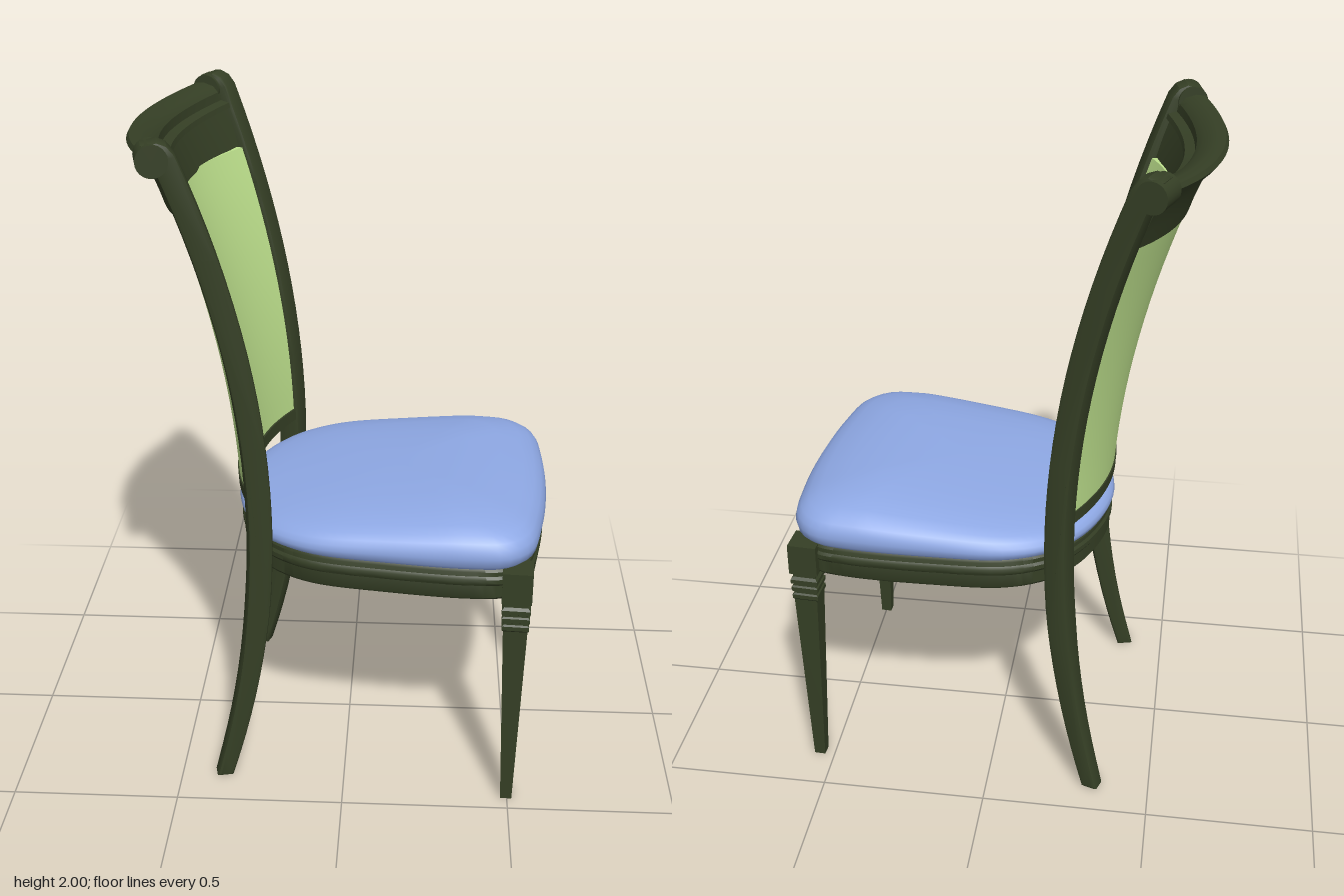
import * as THREE from 'three';
import { toCreasedNormals } from 'three/addons/utils/BufferGeometryUtils.js';

const wood = new THREE.MeshStandardMaterial({ color: 0x353f25 });
const fabric = new THREE.MeshStandardMaterial({ color: 0xbde08c });
const cushionMat = new THREE.MeshStandardMaterial({ color: 0x8ea8e4 });

// Skin between rows of points; every row is a closed loop
function loft(rows, crease) {
  const n = rows[0].length, pos = [], idx = [];
  rows.forEach(r => r.forEach(p => pos.push(...p)));
  for (let i = 0; i < rows.length - 1; i++)
    for (let j = 0; j < n; j++) {
      const a = i * n + j, b = i * n + (j + 1) % n;
      idx.push(a, b, a + n, b, b + n, a + n);
    }
  const g = new THREE.BufferGeometry();
  g.setAttribute('position', new THREE.Float32BufferAttribute(pos, 3));
  g.setIndex(idx);
  return toCreasedNormals(g, crease);
}

function add(parent, name, geometry, material) {
  const m = new THREE.Mesh(geometry, material);
  m.name = name;
  parent.add(m);
  return m;
}

// Curve shared by the rear posts and the backrest
const postX = y => -0.225 - 0.173 * (y - 0.85) ** 2;
const backHalfWidth = y => 0.32 + 0.3 * (-0.225 - postX(y));
const backSag = y => 0.08 + 0.035 * (y - 0.92);

// Sweep a counterclockwise (x, y) profile along the bowed back, with end caps
function bowed(profile, sag, halfWidth, lift = 0) {
  const rows = [], N = 24;
  for (let i = 0; i <= N; i++) {
    const t = -1 + 2 * i / N;
    rows.push(profile.map(([x, y]) => [x + sag(y) * t * t, y + lift * t * t, halfWidth(y) * t]));
  }
  const cap = row => {
    const c = [0, 1, 2].map(k => row.reduce((s, p) => s + p[k], 0) / row.length);
    return row.map(() => c);
  };
  return loft([cap(rows[0]), ...rows, cap(rows[N])], 0.6);
}

// Back slab following the post curve between two heights
function backSlab(y0, y1, front, back, steps) {
  const up = [], down = [];
  for (let i = 0; i <= steps; i++) {
    const y = y0 + (y1 - y0) * i / steps, x = postX(y) - backSag(y);
    up.push([x + front, y]);
    down.unshift([x - back, y]);
  }
  return bowed([...up, ...down], backSag, backHalfWidth);
}

// Seat plan: rounded front corners, bowed back
const half = [[-0.335, 0], [-0.315, 0.13], [-0.27, 0.24], [-0.2, 0.33], [-0.08, 0.395], [0.15, 0.425],
  [0.4, 0.435], [0.5, 0.42], [0.56, 0.36], [0.59, 0.2], [0.6, 0]];
const loop = [...half, ...half.slice(1, -1).reverse().map(([x, z]) => [x, -z])];
const plan = new THREE.CatmullRomCurve3(loop.map(([x, z]) => new THREE.Vector3(x, 0, z)), true)
  .getSpacedPoints(96).slice(0, 96);
const CX = 0.13;
const scaled = s => plan.map(p => [CX + (p.x - CX) * s, p.z * s]);

function cushionGeometry() {
  // [scale, height above the frame]
  const prof = [[0, 0], [0.96, 0], [0.99, 0.015], [1, 0.04], [0.99, 0.062], [0.965, 0.08], [0.92, 0.096],
    [0.85, 0.11], [0.7, 0.125], [0.5, 0.134], [0.25, 0.139], [0, 0.14]];
  const rows = prof.map(([s, h]) => scaled(s).map(([x, z]) => {
    const tilt = THREE.MathUtils.clamp(0.77 + 0.75 * x, 0.6, 1.03);
    return [x, 0.8 + h * tilt, z];
  }));
  return loft(rows, 1.0);
}

// Hollow band around the seat plan
function bandGeometry(outer, inner, y0, y1) {
  const ring = (s, y) => scaled(s).map(([x, z]) => [x, y, z]);
  return loft([ring(inner, y0), ring(outer - 0.012, y0), ring(outer, y0 + 0.008), ring(outer, y1 - 0.008),
    ring(outer - 0.012, y1), ring(inner, y1), ring(inner, y0)], 0.6);
}

// Square tapered front leg with collar rings
function frontLegGeometry() {
  const pts = [[0, 0], [0.017, 0], [0.035, 0.61], [0.039, 0.615], [0.039, 0.628], [0.034, 0.632], [0.034, 0.638],
    [0.04, 0.642], [0.04, 0.655], [0.035, 0.659], [0.035, 0.665], [0.041, 0.669], [0.041, 0.682],
    [0.034, 0.69], [0.034, 0.7], [0.043, 0.705], [0.043, 0.803], [0, 0.803]];
  const g = new THREE.LatheGeometry(pts.map(([w, y]) => new THREE.Vector2(w * Math.SQRT2, y)), 4);
  g.rotateY(Math.PI / 4);
  return toCreasedNormals(g, 0.3);
}

// Curved rear leg and back upright in one piece
function postGeometry() {
  const front = [], back = [], N = 28;
  for (let i = 0; i <= N; i++) {
    const y = 0.01 + 1.95 * i / N;
    const t = 0.015 + 0.01 * Math.min(1, y / 0.6);
    const d = (postX(y) + 0.225) / Math.cos(0.29);
    front.push(new THREE.Vector2(d + t, y));
    back.unshift(new THREE.Vector2(d - t, y));
  }
  const top = [[-0.215, 1.982], [-0.235, 1.99], [-0.262, 1.985]].map(p => new THREE.Vector2(...p));
  const g = new THREE.ExtrudeGeometry(new THREE.Shape([...front, ...top, ...back]),
    { depth: 0.05, bevelEnabled: true, bevelThickness: 0.01, bevelSize: 0.01, bevelSegments: 2 });
  g.translate(0, 0, -0.025);
  // Narrow towards the foot
  const p = g.attributes.position;
  for (let i = 0; i < p.count; i++)
    p.setZ(i, p.getZ(i) * (0.74 + 0.26 * Math.min(1, Math.max(0, p.getY(i)) / 0.6)));
  return toCreasedNormals(g, 0.5);
}

export function createModel() {
  const root = new THREE.Group();
  root.name = 'diningChair';
  const chair = new THREE.Group();
  chair.name = 'chair';
  chair.rotation.y = -0.061;
  chair.position.z = 0.011;
  root.add(chair);

  // Seat
  add(chair, 'seatCushion', cushionGeometry(), cushionMat);
  add(chair, 'seatFrame', bandGeometry(0.975, 0.84, 0.705, 0.803), wood);
  add(chair, 'seatFrameBead', bandGeometry(0.988, 0.9, 0.752, 0.782), wood);

  // Backrest
  add(chair, 'backPanel', backSlab(0.935, 1.785, 0.02, 0.024, 14), fabric);
  add(chair, 'backLowerRail', backSlab(0.903, 0.94, 0.026, 0.028, 2), wood);
  const crest = [[-0.462, 1.775], [-0.477, 1.83], [-0.495, 1.885], [-0.483, 1.89], [-0.487, 1.905], [-0.515, 1.91],
    [-0.518, 1.935], [-0.535, 1.952], [-0.57, 1.96], [-0.597, 1.956], [-0.605, 1.943], [-0.595, 1.93],
    [-0.57, 1.91], [-0.548, 1.87], [-0.528, 1.82], [-0.513, 1.775]];
  add(chair, 'crestRail', bowed(crest, () => 0.095, y => backHalfWidth(y) + 0.01, 0.015), wood);

  // Legs and posts, mirrored
  const legGeo = frontLegGeometry(), postGeo = postGeometry();
  const scrollGeo = new THREE.CylinderGeometry(0.043, 0.043, 0.086, 24).rotateX(Math.PI / 2);
  for (const side of [1, -1]) {
    const name = side > 0 ? 'left' : 'right';
    add(chair, name + 'FrontLeg', legGeo, wood).position.set(0.523, 0, 0.395 * side);
    const post = new THREE.Group();
    post.name = name + 'RearPost';
    post.position.set(-0.225, 0, 0.34 * side);
    post.rotation.y = 0.29 * side;
    add(post, name + 'Post', postGeo, wood);
    add(post, name + 'PostScroll', scrollGeo, wood).position.set(-0.25, 1.953, 0);
    chair.add(post);
  }
  return root;
}
